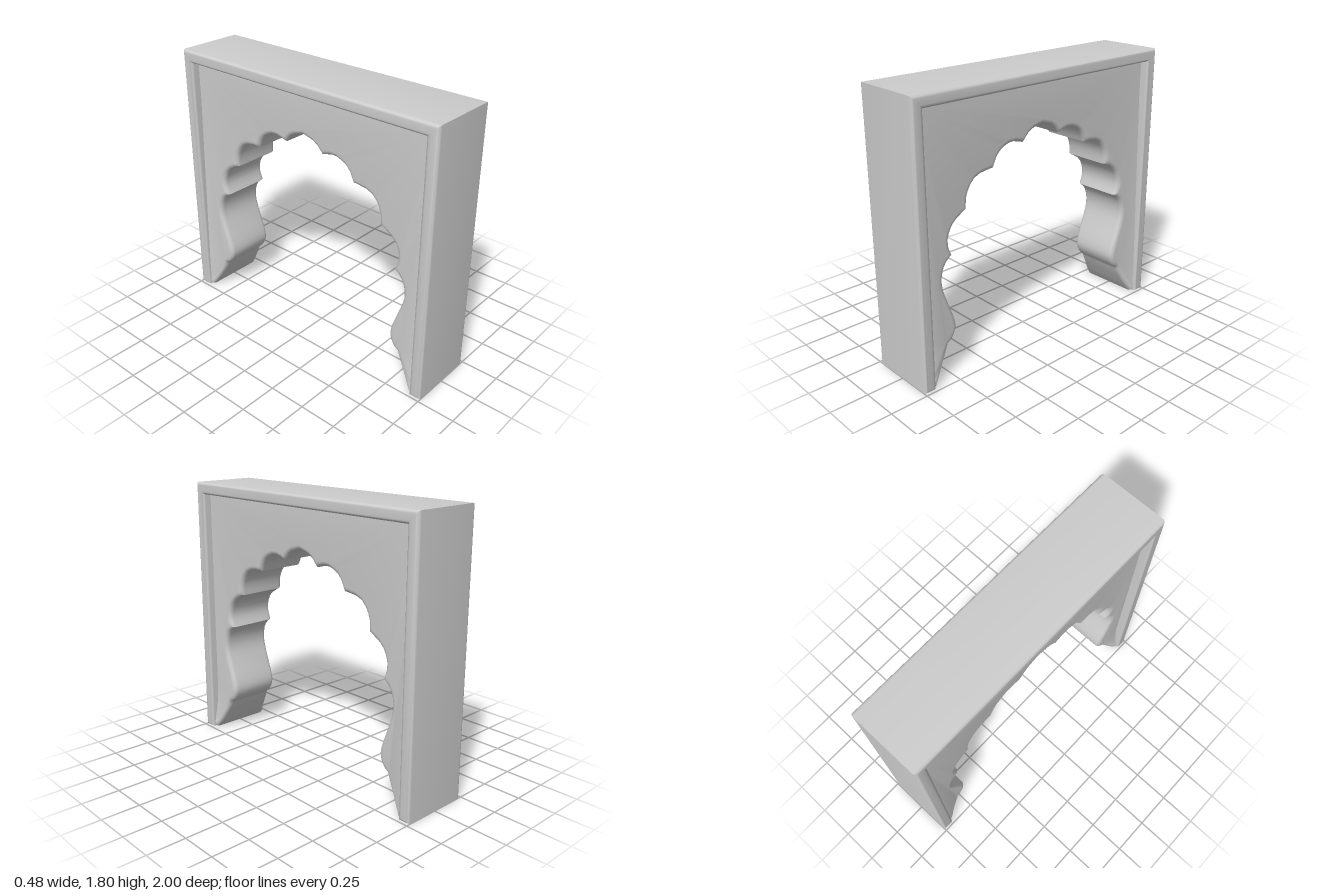
import * as THREE from 'three';
import { toCreasedNormals } from 'three/addons/utils/BufferGeometryUtils.js';

const stone = new THREE.MeshStandardMaterial({ color: 0xcccccc });
stone.name = 'pale grey stone';

// Extrude a (z, y) outline across x with rounded edges, centred on x = 0
function slab(points, halfWidth, bevel) {
  const geo = new THREE.ExtrudeGeometry(new THREE.Shape(points), {
    depth: 2 * (halfWidth - bevel), bevelEnabled: true, bevelThickness: bevel,
    bevelSize: bevel, bevelOffset: -bevel, bevelSegments: 5,
  });
  geo.translate(0, 0, -(halfWidth - bevel));
  geo.rotateY(-Math.PI / 2);
  return geo;
}

const toVectors = (list) => list.map(([z, y]) => new THREE.Vector2(z, y));

// Mirror a half outline (running up to the crown) to the other side
function mirrored(half) {
  const other = half.slice().reverse().map((p) => new THREE.Vector2(-p.x, p.y));
  if (half[half.length - 1].x < 1e-6) other.shift();
  return half.concat(other);
}

function addMesh(group, geo, name, crease) {
  const mesh = new THREE.Mesh(toCreasedNormals(geo, crease), stone);
  mesh.name = name;
  group.add(mesh);
}

export function createModel() {
  const group = new THREE.Group();
  group.name = 'scallopedArch';

  // Square outer frame: two posts and a lintel
  const frame = toVectors([
    [-1, 0], [-0.92, 0], [-0.92, 1.72], [0.92, 1.72],
    [0.92, 0], [1, 0], [1, 1.8], [-1, 1.8],
  ]);
  addMesh(group, slab(frame, 0.24, 0.022), 'outerFrame', 0.7);

  // Scalloped opening: foot and waisted jamb, then lobes meeting at cusps
  const lobes = [
    [[0.9, 0], [0.865, 0.05], [0.835, 0.1], [0.795, 0.17], [0.77, 0.225]],
    [[0.77, 0.225], [0.735, 0.25], [0.706, 0.31], [0.712, 0.38], [0.755, 0.5],
      [0.79, 0.61], [0.79, 0.69], [0.765, 0.755], [0.715, 0.8]],
    [[0.715, 0.8], [0.74, 0.89], [0.7, 0.99], [0.6, 1.055]],
    [[0.6, 1.055], [0.588, 1.15], [0.52, 1.235], [0.39, 1.257]],
    [[0.39, 1.257], [0.345, 1.34], [0.25, 1.385], [0.15, 1.365]],
    [[0.15, 1.365], [0.09, 1.425], [0, 1.452]],
  ];
  const half = [];
  lobes.forEach((lobe, i) => {
    const pts = new THREE.SplineCurve(toVectors(lobe)).getPoints(i === 1 ? 20 : i === 5 ? 5 : 8);
    half.push(...(i ? pts.slice(1) : pts));
  });
  const outer = toVectors([
    [-0.98, 0], [-0.98, 0.12], [-0.98, 0.28], [-0.98, 1.76],
    [0.98, 1.76], [0.98, 0.28], [0.98, 0.12], [0.98, 0],
  ]);
  const panel = slab(mirrored(half).concat(outer), 0.18, 0.032);

  // The recessed panel swells out to the frame's width at its feet
  const pos = panel.attributes.position;
  for (let i = 0; i < pos.count; i++) {
    const t = THREE.MathUtils.clamp(1 - pos.getY(i) / 0.28, 0, 1);
    pos.setX(i, pos.getX(i) * (1 + 0.26 * t * t));
  }
  addMesh(group, panel, 'scallopedPanel', 0.8);

  return group;
}
